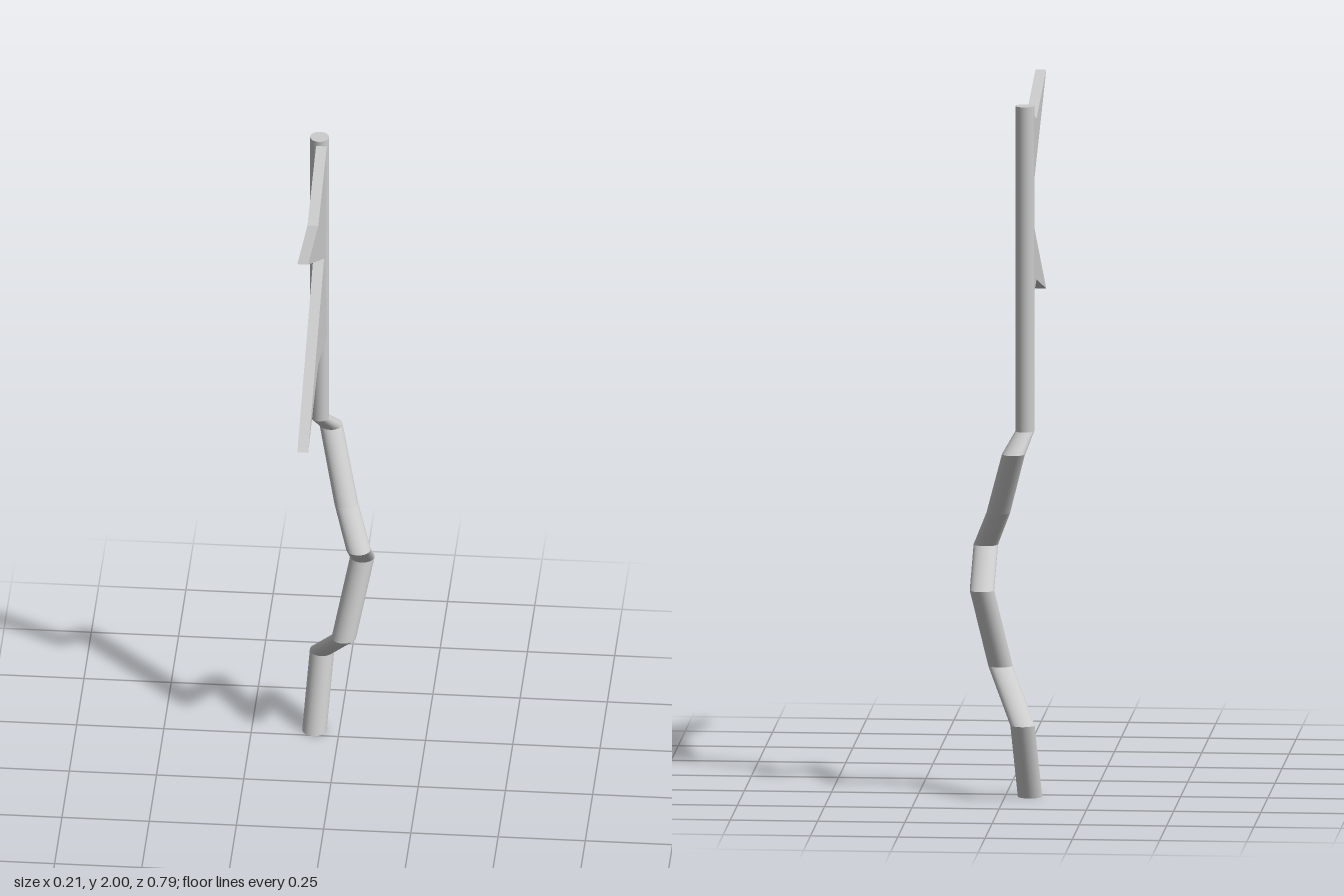
import * as THREE from 'three';

const material = new THREE.MeshStandardMaterial({ color: 0xcccccc, side: THREE.DoubleSide });

// Pole joints, bottom to top: x, y, z, radius (every joint is a horizontal circle)
const joints = [
  [-0.071, 0, -0.281, 0.035],
  [-0.056, 0.22, -0.362, 0.035],
  [0.02, 0.365, -0.203, 0.035],
  [0.067, 0.595, -0.276, 0.035],
  [0.067, 0.705, -0.138, 0.035],
  [0.025, 0.81, -0.218, 0.034],
  [-0.028, 1.0, -0.334, 0.033],
  [-0.056, 1.058, -0.278, 0.027],
  [-0.056, 2.0, -0.278, 0.027],
];

// Cylinder sheared sideways so that both ends stay horizontal
function poleSegment([x0, y0, z0, r0], [x1, y1, z1, r1]) {
  const h = y1 - y0;
  const geometry = new THREE.CylinderGeometry(r1, r0, h, 32);
  geometry.applyMatrix4(new THREE.Matrix4().set(
    1, (x1 - x0) / h, 0, (x0 + x1) / 2,
    0, 1, 0, (y0 + y1) / 2,
    0, (z1 - z0) / h, 1, (z0 + z1) / 2,
    0, 0, 0, 1,
  ));
  return new THREE.Mesh(geometry, material);
}

export function createModel() {
  const model = new THREE.Group();
  model.name = 'flagOnCrookedPole';

  // Crooked pole with a straight upper shaft
  const pole = new THREE.Group();
  pole.name = 'pole';
  for (let i = 0; i < joints.length - 1; i++) {
    const segment = poleSegment(joints[i], joints[i + 1]);
    segment.name = i === joints.length - 2 ? 'upperShaft' : `crookedSegment${i + 1}`;
    pole.add(segment);
  }
  model.add(pole);

  // Two-pointed flag, outlined as (z, y) and mirrored about its middle height
  const middle = 1.674;
  const half = [[-0.241, 0.318], [0.052, 0.233], [0.396, 0.317]];
  const outline = [
    [-0.193, 0], ...half, [-0.145, 0],
    ...half.map(([z, y]) => [z, -y]).reverse(),
  ].map(([z, y]) => new THREE.Vector2(z, middle + y));
  const flag = new THREE.Mesh(
    new THREE.ExtrudeGeometry(new THREE.Shape(outline), { depth: 0.031, bevelEnabled: false }),
    material,
  );
  flag.name = 'flag';
  flag.rotation.y = -Math.PI / 2;
  flag.position.x = -0.032;
  model.add(flag);

  return model;
}
